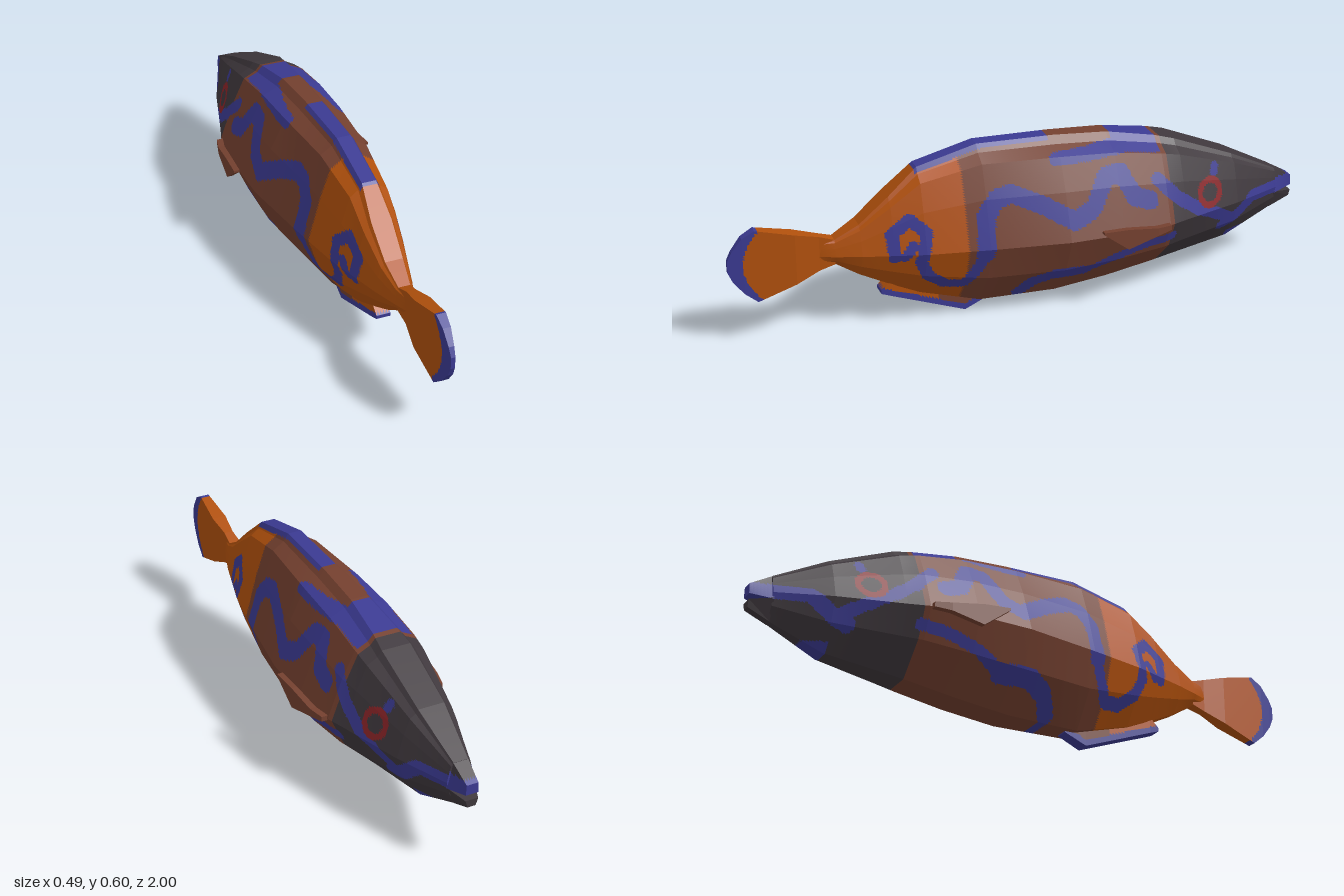
import * as THREE from 'three';

const material = (name, color) => {
  const m = new THREE.MeshStandardMaterial({ color });
  m.name = name;
  return m;
};

// Mirror a right-hand outline (top to bottom) into a closed ring at depth z
const ring = (z, half) => [
  ...half.map(([x, y]) => new THREE.Vector3(x, y, z)),
  ...half.slice().reverse().map(([x, y]) => new THREE.Vector3(-x, y, z)),
];

// Seven-point body outline: flat ridge, shoulders, widest line, belly
const MID = 0.28;
const bodyRing = ([z, top, bottom, w, wt]) => {
  const up = top - MID, down = MID - bottom;
  const at = (f, h) => [wt + f * (w - wt), MID + h * up];
  return ring(z, [at(0, 1), at(0.12, 0.92), at(0.4, 0.84), at(0.68, 0.5), at(1, 0),
    [0.77 * w, MID - 0.5 * down], [0.25 * w, bottom]]);
};

// Four-cornered outline for fins and jaws
const slabRing = ([z, top, bottom, wTop, wBottom = wTop]) =>
  ring(z, [[wTop, top], [wBottom, bottom]]);

// Loft rings (ordered from +z to -z) in fine cells; paint(point) picks each cell's colour
function loft(name, rings, materials, paint, step) {
  const buckets = {};
  const tri = (a, b, c) => {
    const mid = a.clone().add(b).add(c).divideScalar(3);
    (buckets[paint(mid)] ??= []).push(...a.toArray(), ...b.toArray(), ...c.toArray());
  };
  const n = rings[0].length;
  const cuts = rings[0].map((_, j) => Math.max(1, Math.ceil(
    Math.max(...rings.map((r) => r[j].distanceTo(r[(j + 1) % n]))) / step)));
  const fine = (r) => r.flatMap((p, j) => Array.from({ length: cuts[j] },
    (_, k) => p.clone().lerp(r[(j + 1) % n], k / cuts[j])));
  const rows = [fine(rings[0])];
  for (let i = 1; i < rings.length; i++) {
    const a = rings[i - 1], b = rings[i];
    const parts = Math.max(1, Math.ceil(Math.abs(a[0].z - b[0].z) / step));
    for (let k = 1; k <= parts; k++) rows.push(fine(a.map((p, j) => p.clone().lerp(b[j], k / parts))));
  }
  const m = rows[0].length;
  for (let i = 0; i + 1 < rows.length; i++) {
    for (let j = 0; j < m; j++) {
      const k = (j + 1) % m, [r, s] = [rows[i], rows[i + 1]];
      tri(r[j], r[k], s[k]);
      tri(r[j], s[k], s[j]);
    }
  }
  const centre = (r) => r.reduce((s, p) => s.add(p), new THREE.Vector3()).divideScalar(m);
  const first = rows[0], last = rows[rows.length - 1];
  const c0 = centre(first), c1 = centre(last);
  for (let j = 0; j < m; j++) {
    const k = (j + 1) % m;
    tri(c0, first[k], first[j]);
    tri(c1, last[j], last[k]);
  }
  const geometry = new THREE.BufferGeometry();
  const positions = [], used = [];
  for (const [key, list] of Object.entries(buckets)) {
    geometry.addGroup(positions.length / 3, list.length / 3, used.length);
    used.push(materials[key]);
    for (const v of list) positions.push(v);
  }
  geometry.setAttribute('position', new THREE.Float32BufferAttribute(positions, 3));
  geometry.computeVertexNormals();
  const mesh = new THREE.Mesh(geometry, used);
  mesh.name = name;
  return mesh;
}

// Painted bands on the flanks: half width, then a (z, y) path
const STRIPES = [
  [0.03, [[0.18, 0.26], [0.17, 0.39], [0.13, 0.44], [0.08, 0.45], [-0.01, 0.41], [-0.12, 0.345],
    [-0.19, 0.375], [-0.245, 0.465], [-0.3, 0.47], [-0.34, 0.39], [-0.395, 0.37]]],
  [0.02, [[0.47, 0.27], [0.475, 0.35], [0.415, 0.395], [0.365, 0.35], [0.385, 0.25], [0.36, 0.19],
    [0.3, 0.145], [0.24, 0.14], [0.205, 0.2], [0.18, 0.26]]],
  [0.016, [[0.44, 0.27], [0.41, 0.31]]],
  [0.028, [[0.03, 0.06], [0, 0.11], [-0.07, 0.14], [-0.18, 0.135]]],
  [0.018, [[-0.18, 0.135], [-0.27, 0.18], [-0.37, 0.21], [-0.48, 0.225]]],
  [0.018, [[-0.08, 0.535], [-0.2, 0.535], [-0.42, 0.55]]],
  [0.022, [[-0.43, 0.43], [-0.5, 0.36], [-0.57, 0.31], [-0.63, 0.28], [-0.7, 0.24], [-0.74, 0.215]]],
  [0.024, [[-0.7, 0.2], [-0.74, 0.215], [-0.82, 0.28], [-1, 0.285]]],
  [0.016, [[-0.66, 0.405], [-0.665, 0.42]]],
];

function segmentDistance(z, y, [az, ay], [bz, by]) {
  const dz = bz - az, dy = by - ay;
  const t = THREE.MathUtils.clamp(((z - az) * dz + (y - ay) * dy) / (dz * dz + dy * dy), 0, 1);
  return Math.hypot(z - az - t * dz, y - ay - t * dy);
}

const inStripe = (z, y) => STRIPES.some(([half, path]) =>
  path.some((p, i) => i > 0 && segmentDistance(z, y, path[i - 1], p) < half));

const baseColour = (z) => (z > 0.235 ? 'orange' : z > -0.475 ? 'brown' : 'charcoal');

function paintBody({ x, y, z }) {
  const side = Math.abs(x);
  const eye = Math.hypot(z + 0.635, y - 0.343);
  if (eye < 0.052) return eye > 0.03 ? 'red' : 'charcoal';
  if (side < 0.034 && y > 0.5 && z < 0.38 && z > -0.08) return 'blue';
  if (y > 0.5 && z < -0.3 && z > -0.46 && side < 0.1) return 'blue';
  if (y < 0.15 && z < -0.74) return 'blue';
  return inStripe(z, y) ? 'blue' : baseColour(z);
}

export function createModel() {
  const group = new THREE.Group();
  group.name = 'fish';
  const mats = {
    orange: material('orange', 0xb0500c),
    brown: material('brown', 0x74402f),
    charcoal: material('charcoal', 0x3f383d),
    blue: material('blue', 0x3b3a92),
    red: material('red', 0x8a2428),
  };
  const add = (...args) => group.add(loft(args[0], args[1], mats, args[2], args[3]));

  // Body: z, top, bottom, half width, ridge half width
  add('body', [
    [0.7, 0.33, 0.25, 0.016, 0.012],
    [0.65, 0.335, 0.245, 0.036, 0.02],
    [0.57, 0.38, 0.195, 0.065, 0.03],
    [0.47, 0.465, 0.145, 0.095, 0.034],
    [0.37, 0.55, 0.1, 0.125, 0.024],
    [0.165, 0.6, 0.04, 0.165, 0.024],
    [-0.1, 0.592, 0.036, 0.208, 0.025],
    [-0.29, 0.578, 0.055, 0.212, 0.03],
    [-0.46, 0.545, 0.08, 0.2, 0.042],
    [-0.53, 0.525, 0.09, 0.178, 0.05],
    [-0.75, 0.435, 0.12, 0.115, 0.045],
    [-0.93, 0.345, 0.195, 0.046, 0.025],
  ].map(bodyRing), paintBody, 0.0095);

  // Jaws with an open mouth between them
  add('upperJaw', [[-0.925, 0.347, 0.258, 0.026, 0.046], [-1, 0.305, 0.27, 0.02, 0.022]].map(slabRing),
    ({ y, z }) => (y < 0.312 || z < -0.985 ? 'blue' : 'charcoal'), 0.012);
  add('lowerJaw', [[-0.925, 0.262, 0.193, 0.046, 0.014], [-1, 0.25, 0.225, 0.022, 0.014]].map(slabRing),
    () => 'charcoal', 0.1);

  // Tail fin with a curved blue rim
  add('tailFin', [
    [1, 0.31, 0.27, 0.007], [0.985, 0.34, 0.235, 0.009], [0.95, 0.385, 0.19, 0.013],
    [0.908, 0.408, 0.155, 0.016], [0.78, 0.375, 0.2, 0.025], [0.7, 0.352, 0.232, 0.016],
    [0.65, 0.335, 0.247, 0.02],
  ].map((s) => slabRing(s)),
  ({ y, z }) => (z > 0.95 - 0.06 * ((y - 0.285) / 0.125) ** 2 ? 'blue' : 'orange'), 0.01);

  // Anal fin with a blue lower edge
  add('analFin', [
    [0.5, 0.125, 0.113, 0.024], [0.465, 0.158, 0.1, 0.026], [0.21, 0.1, 0.002, 0.024],
    [0.13, 0.06, 0.036, 0.022],
  ].map((s) => slabRing(s)), ({ y, z }) => {
    const edge = z > 0.21 ? 0.002 + (z - 0.21) * 0.383 : 0.002 + (0.21 - z) * 0.42;
    return y < edge + 0.022 ? 'blue' : z > 0.3 ? 'orange' : 'brown';
  }, 0.012);

  // Pectoral fins swept back along the flanks
  for (const [name, sign] of [['leftPectoralFin', 1], ['rightPectoralFin', -1]]) {
    const fin = loft(name, [
      [-0.2, 0.315, 0.307, 0.01], [-0.29, 0.31, 0.238, 0.01],
      [-0.4, 0.293, 0.265, 0.011], [-0.455, 0.289, 0.272, 0.011],
    ].map((s) => slabRing(s)), mats, () => 'brown', 0.5);
    // Bow the fin outward from its root
    const p = fin.geometry.attributes.position;
    for (let i = 0; i < p.count; i++) {
      const t = (p.getZ(i) + 0.455) / 0.255;
      p.setX(i, p.getX(i) + sign * (0.207 + 0.03 * Math.sqrt(Math.max(0, t))));
    }
    fin.geometry.computeVertexNormals();
    group.add(fin);
  }
  return group;
}
